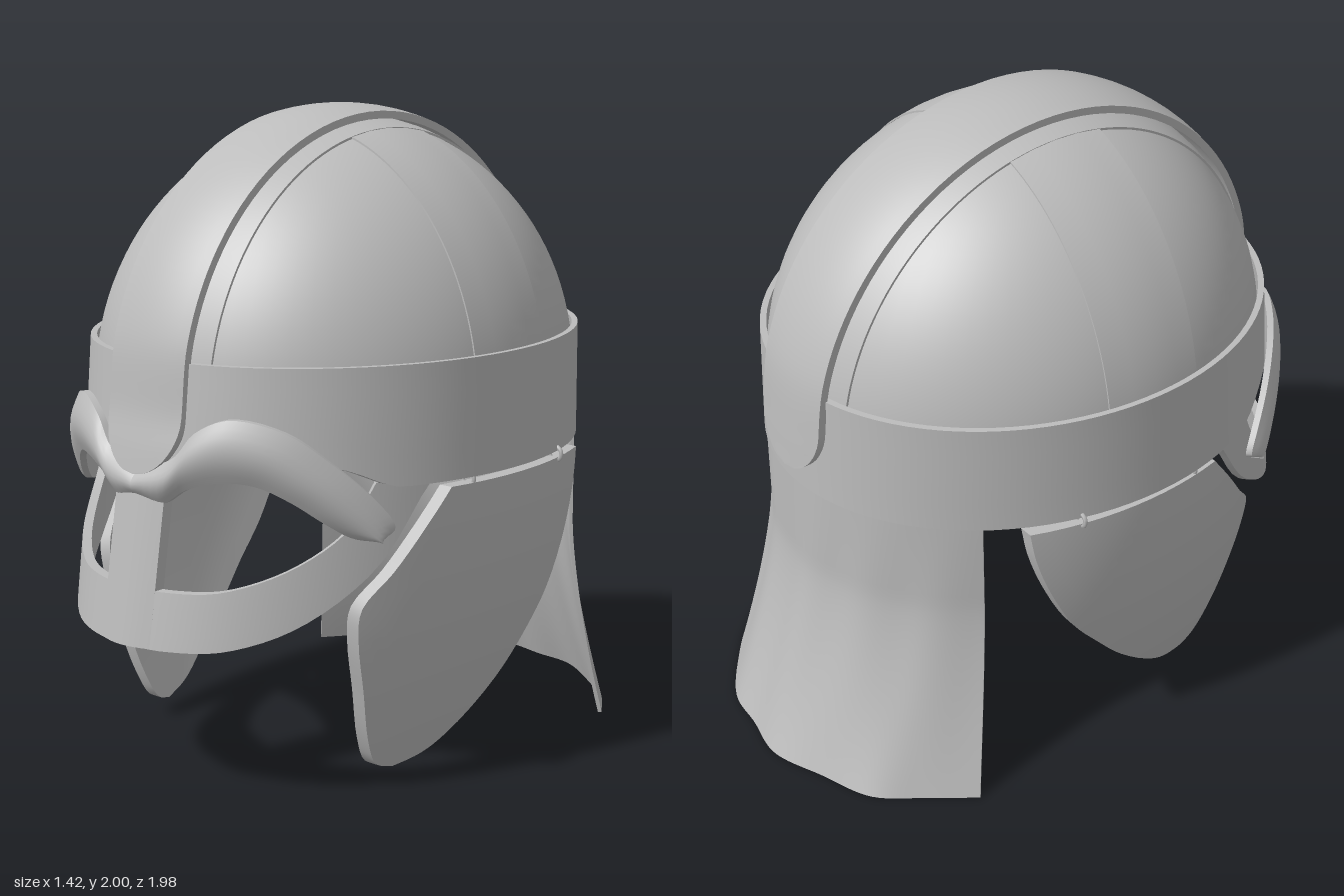
import * as THREE from 'three';
import { mergeGeometries } from 'three/addons/utils/BufferGeometryUtils.js';

const CZ = 0.04; // centre of the skull in z
const steel = new THREE.MeshStandardMaterial({ color: 0xbcbcbc, side: THREE.DoubleSide });
steel.name = 'plain steel';

const lerp = THREE.MathUtils.lerp;
const smooth = THREE.MathUtils.smoothstep;
const curve = pts => new THREE.CatmullRomCurve3(pts.map(p => new THREE.Vector3(p[0], p[1], p[2] || 0)));

// Smooth grid surface from f(u, v) -> [x, y, z]
function grid(f, nu, nv) {
  const pos = [], idx = [];
  for (let j = 0; j <= nv; j++)
    for (let i = 0; i <= nu; i++) pos.push(...f(i / nu, j / nv));
  for (let j = 0; j < nv; j++)
    for (let i = 0; i < nu; i++) {
      const a = j * (nu + 1) + i, b = a + 1, c = a + nu + 1, d = c + 1;
      idx.push(a, b, d, a, d, c);
    }
  const g = new THREE.BufferGeometry();
  g.setAttribute('position', new THREE.Float32BufferAttribute(pos, 3));
  g.setIndex(idx);
  g.computeVertexNormals();
  return g;
}

// Plate with thickness: f(u, v, s), s = 1 outside and s = 0 inside, with sharp rims
function plate(f, nu, nv) {
  return mergeGeometries([
    grid((u, v) => f(u, v, 1), nu, nv),
    grid((u, v) => f(1 - u, v, 0), nu, nv),
    grid((u, s) => f(u, 0, s), nu, 1),
    grid((u, s) => f(u, 1, 1 - s), nu, 1),
    grid((s, v) => f(0, v, s), 1, nv),
    grid((s, v) => f(1, v, 1 - s), 1, nv),
  ]);
}

// Depth of the face plates, leaning forward towards the bottom
const faceZ = (x, y, a, b) => CZ + b * Math.sqrt(Math.max(0, 1 - (x / a) ** 2));
const guardZ = (x, y) => faceZ(x, y, 0.68, 0.87 + (0.95 - y) * 0.16);
const inward = ([x, y, z], k) => [x * k, y, CZ + (z - CZ) * k];

export function createModel() {
  const helmet = new THREE.Group();
  helmet.name = 'helmet';
  const add = (name, geo) => {
    const m = new THREE.Mesh(geo, steel);
    m.name = name;
    helmet.add(m);
    return m;
  };

  // Skull bowl
  const bowl = new THREE.SphereGeometry(1, 72, 28, 0, Math.PI * 2, 0, 1.5);
  bowl.scale(0.7, 0.81, 0.81).translate(0, 1.15, CZ);
  add('skullBowl', bowl);

  // Flush straps crossing the bowl
  add('crossStrap', plate((u, v, s) => {
    const d = lerp(-0.17, 0.16, v), r = 1.001 + 0.007 * s, a = lerp(0.15, Math.PI - 0.15, u);
    const k = r * Math.sqrt(1 - (d / 0.81) ** 2);
    return [0.7 * k * Math.cos(a), 1.15 + 0.81 * k * Math.sin(a), CZ + d];
  }, 60, 4));
  add('longStrap', plate((u, v, s) => {
    const x = lerp(-0.2, 0.2, v), r = 1.001 + 0.009 * s, a = lerp(0.15, Math.PI - 0.15, u);
    const k = r * 0.81 * Math.sqrt(1 - (x / 0.7) ** 2);
    return [x, 1.15 + k * Math.sin(a), CZ + k * Math.cos(a)];
  }, 60, 6));

  // Crest strip with rounded ends
  const arc = [];
  for (let i = 0; i <= 12; i++) {
    const a = Math.PI * i / 12;
    arc.push([0, 1.15 + 0.85 * Math.sin(a), CZ + 0.86 * Math.cos(a)]);
  }
  const crestPath = curve([[0, 0.98, 0.935], [0, 1.06, 0.92], ...arc, [0, 1.09, -0.825], [0, 1.03, -0.83]]);
  const crestLength = crestPath.getLength();
  add('crestStrip', plate((u, v, s) => {
    // samples gather at both ends so the rounding stays smooth
    const t = lerp(u, (1 - Math.cos(u * Math.PI)) / 2, 0.85);
    const end = Math.min(1, Math.min(t, 1 - t) * crestLength / 0.17);
    const x = (v * 2 - 1) * 0.15 * Math.sqrt(1 - (1 - end) ** 2);
    const p = crestPath.getPointAt(t);
    const k = Math.sqrt(1 - (x / 0.72) ** 2) - 0.028 * (1 - s);
    return [x, p.y > 1.15 ? 1.15 + (p.y - 1.15) * k : p.y, CZ + (p.z - CZ) * k];
  }, 80, 8));

  // Brow band, cut higher above the eyes
  add('browBand', plate((u, v, s) => {
    const a = -Math.PI / 2 + u * Math.PI * 2, r = 1 - 0.025 * (1 - s);
    const cz = lerp(0.05, CZ, v), b = lerp(0.845, 0.825, v);
    const z = cz + b * r * Math.sin(a);
    const low = 0.955 + 0.07 * smooth(z, 0.45, 0.65);
    return [0.71 * r * Math.cos(a), lerp(low, 1.31, v), z];
  }, 96, 4));

  // Eyebrow plates, domed across their width
  const browTop = curve([[0, 0.99], [0.13, 1.04], [0.2, 1.12], [0.3, 1.165], [0.43, 1.13],
    [0.53, 1.03], [0.6, 0.92], [0.625, 0.84], [0.605, 0.81]]);
  const browLow = curve([[0, 0.91], [0.09, 0.9], [0.17, 0.95], [0.27, 0.98], [0.36, 0.975],
    [0.44, 0.93], [0.51, 0.865], [0.56, 0.82], [0.605, 0.805]]);
  const brow = (side, u, v, s) => {
    const p = browLow.getPoint(u).lerp(browTop.getPoint(u), v);
    const q = [side * p.x, p.y, faceZ(p.x, p.y, 0.735, 0.865)];
    return inward(q, 1 + s * (0.01 + 0.035 * Math.sin(Math.PI * v)) - 0.015 * (1 - s));
  };

  // Curved bar under the eyes
  const barTop = curve([[0, 0.65], [0.15, 0.65], [0.3, 0.665], [0.44, 0.73], [0.53, 0.83], [0.57, 0.97]]);
  const barLow = curve([[0, 0.48], [0.16, 0.48], [0.32, 0.495], [0.46, 0.56], [0.57, 0.7], [0.64, 0.97]]);
  add('underEyeBar', plate((u, v, s) => {
    const w = u * 2 - 1, t = Math.abs(w);
    const p = barLow.getPoint(t).lerp(barTop.getPoint(t), v);
    return inward([Math.sign(w) * p.x, p.y, guardZ(p.x, p.y)], 1 - 0.035 * (1 - s));
  }, 48, 4));

  // Nose guard
  add('noseGuard', plate((u, v, s) => {
    const x = lerp(-0.1, 0.1, u), y = lerp(0.48, 1.0, v);
    return [x, y, guardZ(x, y) + (s ? 0.012 * Math.sin(Math.PI * u) : -0.035)];
  }, 8, 8));

  // Cheek guards: front and rear outline as z over y
  const cheekFront = curve([[0.36, 0.05], [0.42, 0.07], [0.47, 0.16], [0.52, 0.33], [0.56, 0.5],
    [0.56, 0.6], [0.48, 0.7], [0.39, 0.82], [0.3, 0.935]]);
  const cheekRear = curve([[0.36, 0.05], [0.26, 0.075], [0.18, 0.12], [0, 0.27], [-0.12, 0.4],
    [-0.22, 0.52], [-0.31, 0.69], [-0.36, 0.83], [-0.38, 0.935]]);
  const cheek = (side, u, v, s) => {
    const p = cheekRear.getPoint(v).lerp(cheekFront.getPoint(v), u);
    const x = 0.705 * Math.sqrt(1 - ((p.x - CZ) / 0.92) ** 2) - 0.2 * (0.935 - p.y) ** 2;
    return [side * (x - 0.045 * (1 - s)), p.y, p.x];
  };

  for (const [side, word] of [[1, 'left'], [-1, 'right']]) {
    add(word + 'Eyebrow', plate((u, v, s) => brow(side, u, v, s), 36, 8));
    add(word + 'CheekGuard', plate((u, v, s) => cheek(side, u, v, s), 12, 32));
    // Hinge rings between band and cheek guard
    for (const z of [0.21, -0.22]) {
      const ring = add(word + 'CheekHinge', new THREE.TorusGeometry(0.022, 0.007, 6, 16));
      ring.position.set(side * 0.665, 0.945, z);
    }
  }

  // Neck curtain: hangs straight, then flares, with soft folds
  const hem = curve([[-0.64, 0, -0.58], [-0.53, 0, -0.73], [-0.43, 0, -0.85], [-0.26, 0, -0.92],
    [-0.08, 0, -0.985], [0.08, 0, -0.96], [0.22, 0, -0.94], [0.4, 0, -0.82], [0.5, 0, -0.73], [0.61, 0, -0.58]]);
  add('neckCurtain', plate((u, v, s) => {
    const y = 0.975 * v, a = lerp(-0.88, 0.88, u), r = 1 - 0.015 * (1 - s);
    const flare = Math.pow(Math.max(0, 1 - y / 0.66), 1.45);
    const fold = 0.012 * (1 - v) * Math.sin(u * 34 + v * 2);
    const p = hem.getPoint(u);
    const x = lerp(0.7 * Math.sin(a), p.x, flare), z = lerp(CZ - 0.83 * Math.cos(a), p.z, flare);
    return [x * r, y, z * r + fold * (1 - flare)];
  }, 64, 28));

  return helmet;
}
